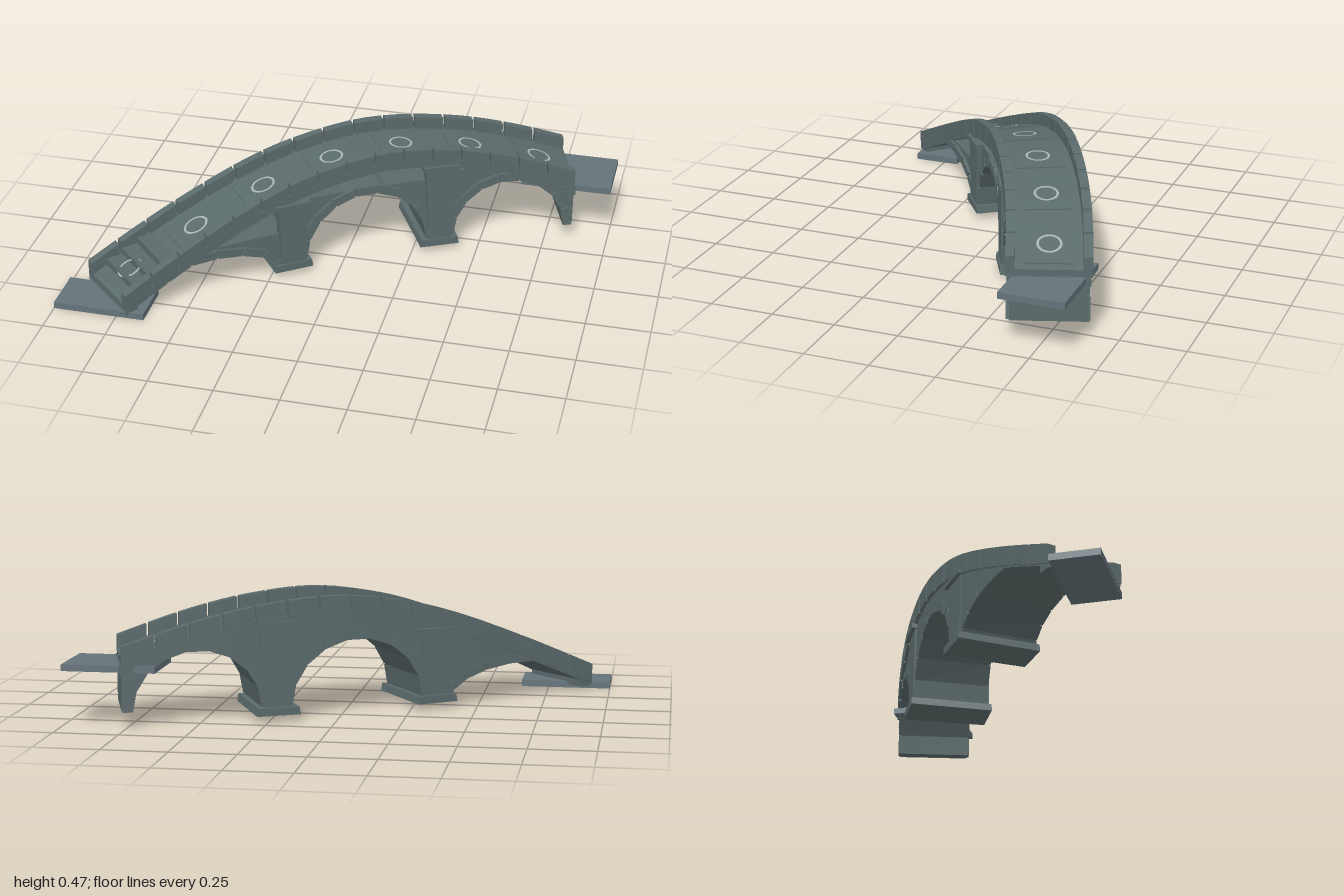
import * as THREE from 'three';
import { mergeGeometries } from 'three/addons/utils/BufferGeometryUtils.js';

const stone = new THREE.MeshStandardMaterial({ color: 0x5b6a6b });
stone.name = 'stone';
const landingStone = new THREE.MeshStandardMaterial({ color: 0x64737a });
landingStone.name = 'landing stone';
const paleInlay = new THREE.MeshStandardMaterial({ color: 0xa9b3b0 });
paleInlay.name = 'pale inlay';

// Plan of the bridge: an arc. s runs along it, d runs outwards from the middle.
const R = 3.98, CX = 2.067, CZ = 3.273, START = 46.4 * Math.PI / 180, LEN = 1.945;
const place = (s, y, d) => {
  const a = START - s / R;
  return new THREE.Vector3(CX - (R + d) * Math.sin(a), y, CZ - (R + d) * Math.cos(a));
};

// Height of the parapet top along the bridge
const knots = [[-0.2, 0.02], [0, 0.105], [0.35, 0.255], [0.65, 0.373], [0.85, 0.43], [1.13, 0.47],
  [1.4, 0.452], [1.65, 0.402], [1.945, 0.31], [2.1, 0.25]];
function crown(s) {
  let i = 1;
  while (i < knots.length - 3 && s > knots[i + 1][0]) i++;
  const [p, a, b, q] = [knots[i - 1], knots[i], knots[i + 1], knots[i + 2]];
  const w = b[0] - a[0], t = (s - a[0]) / w;
  const m0 = (b[1] - p[1]) / (b[0] - p[0]) * w, m1 = (q[1] - a[1]) / (q[0] - a[0]) * w;
  return (2 * t ** 3 - 3 * t * t + 1) * a[1] + (t ** 3 - 2 * t * t + t) * m0 +
    (3 * t * t - 2 * t ** 3) * b[1] + (t ** 3 - t * t) * m1;
}
const deckTop = s => crown(s) - 0.05;
const deckBottom = s => crown(s) - 0.08;

// A block with an anticlockwise (s, y) outline, spanning d0..d1 across the bridge
function block(outline, d0, d1) {
  const shape = new THREE.Shape(outline.map(p => new THREE.Vector2(p[0], p[1])));
  const g = new THREE.ExtrudeGeometry(shape, { depth: d1 - d0, bevelEnabled: false });
  const pos = g.attributes.position;
  for (let i = 0; i < pos.count; i++) {
    const v = place(pos.getX(i), pos.getY(i), d1 - pos.getZ(i));
    pos.setXYZ(i, v.x, v.y, v.z);
  }
  g.computeVertexNormals();
  return g;
}

// A run of blocks between a lower and an upper height rule
function run(low, high, s0, s1, n, d0, d1) {
  const out = [];
  for (let i = 0; i < n; i++) {
    const a = s0 + (s1 - s0) * i / n, b = s0 + (s1 - s0) * (i + 1) / n;
    if (high(a) - low(a) < 0.001 && high(b) - low(b) < 0.001) continue;
    out.push(block([[a, low(a)], [b, low(b)], [b, Math.max(high(b), low(b) + 0.0005)],
      [a, Math.max(high(a), low(a) + 0.0005)]], d0, d1));
  }
  return out;
}

const arches = [
  { name: 'lowArch', c: 0.355, a: 0.325, base: 0.025, rise: 0.125, n: 9 },
  { name: 'middleArch', c: 1.06, a: 0.26, base: 0.05, rise: 0.25, n: 9 },
  { name: 'highArch', c: 1.67, a: 0.235, base: 0.06, rise: 0.225, n: 9 },
];
const RING = 0.035;
const archPoint = (A, t, off) => {
  const s = A.c - (A.a + off) * Math.cos(t);
  const y = A.base + (A.rise + off) * Math.sin(t);
  const limit = crown(Math.max(s, 0)) - (off > 0 ? 0.055 : 0.085);
  return [s, Math.max(Math.min(y, limit), off > 0 ? A.base : Math.min(A.base, limit))];
};
// Top of the arch rings, or the ground line between them
function extrados(s) {
  for (const A of arches) {
    const u = (s - A.c) / (A.a + RING - 0.003);
    if (Math.abs(u) < 1) return A.base + (A.rise + RING - 0.003) * Math.sqrt(1 - u * u);
  }
  return s > 1.6 ? 0.06 : 0.05;
}

export function createModel() {
  const root = new THREE.Group();
  const add = (name, parts, mat = stone) => {
    const m = new THREE.Mesh(Array.isArray(parts) ? mergeGeometries(parts) : parts, mat);
    m.name = name;
    root.add(m);
    return m;
  };

  add('deck', run(deckBottom, deckTop, 0, LEN, 40, -0.15, 0.15));

  // Parapets of separate blocks, with narrow joints
  for (const side of [-1, 1]) {
    const parts = [], n = 16, gap = 0.005;
    const d0 = side > 0 ? 0.122 : -0.156, d1 = d0 + 0.034;
    for (let i = 0; i < n; i++) {
      parts.push(...run(s => crown(s) - 0.078, crown, LEN * i / n + (i ? gap : 0),
        LEN * (i + 1) / n - (i < n - 1 ? gap : 0), 2, d0, d1));
    }
    add(side > 0 ? 'outerParapet' : 'innerParapet', parts);
  }

  // Vaults and the raised ring stones on their faces
  for (const A of arches) {
    const vault = [], ring = [];
    for (let i = 0; i < A.n; i++) {
      const t0 = Math.PI * i / A.n, t1 = Math.PI * (i + 1) / A.n, j = 0.012;
      const quad = (a, b, off) => [archPoint(A, a, 0), archPoint(A, a, off),
        archPoint(A, b, off), archPoint(A, b, 0)].reverse();
      vault.push(block(quad(t0, t1, RING), -0.145, 0.145));
      ring.push(block(quad(t0 + j, t1 - j, RING), -0.153, -0.144));
      ring.push(block(quad(t0 + j, t1 - j, RING), 0.144, 0.149));
    }
    add(A.name + 'Vault', vault);
    add(A.name + 'RingStones', ring);
  }

  // Solid haunches up to a level course, open above on the inner side
  const level = s => Math.min(s < 0.72 ? 0.19 : s < 1.36 ? 0.32 : 0.35, deckBottom(s));
  add('haunchFill', run(extrados, level, 0.04, LEN, 150, -0.14, 0.14));
  add('outerSpandrelWall', run(extrados, deckBottom, 0.04, LEN, 150, 0.115, 0.145));

  // Piers: plinth, flared pilasters and caps
  for (const [name, s, top] of [['lowPier', 0.742, 0.315], ['highPier', 1.376, 0.38]]) {
    add(name + 'Plinth', block([[s - 0.085, 0.025], [s + 0.08, 0.025], [s + 0.075, 0.055],
      [s - 0.08, 0.055]], -0.165, 0.165));
    const flare = [[s - 0.05, 0.05], [s + 0.05, 0.05], [s + 0.065, top], [s - 0.065, top]];
    add(name + 'Pilasters', [block(flare, -0.16, -0.12), block(flare, 0.12, 0.152)]);
    const cap = [[s - 0.075, top - 0.015], [s + 0.075, top - 0.015],
      [s + 0.075, top + 0.005], [s - 0.075, top + 0.005]];
    add(name + 'Caps', [block(cap, -0.167, -0.11), block(cap, 0.11, 0.167)]);
  }

  // End abutments
  add('lowAbutment', block([[0, 0.015], [0.055, 0.015], [0.055, 0.05], [0, 0.05]], -0.15, 0.15));
  add('highAbutmentCourse', block([[1.9, 0.2], [LEN + 0.006, 0.2], [LEN + 0.006, 0.235],
    [1.9, 0.235]], -0.15, 0.15));

  // Shallow steps at the low end
  const steps = [];
  for (let i = 0; i < 3; i++) {
    const a = 0.06 + i * 0.065, b = a + 0.065, y = deckTop(b);
    steps.push(block([[a, deckBottom(a)], [b, deckBottom(b)], [b, y], [a, y]], -0.12, 0.12));
  }
  add('steps', steps);

  // Paving panels with a pale ring set in each
  const panels = [], rings = [];
  for (let i = 0; i < 7; i++) {
    const s = 0.1 + i * 0.287;
    if (i) panels.push(...run(deckTop, q => deckTop(q) + 0.004, s - 0.095, s + 0.095, 4, -0.09, 0.09));
    const ring = new THREE.RingGeometry(0.038, 0.047, 24);
    const pos = ring.attributes.position;
    for (let k = 0; k < pos.count; k++) {
      const q = s + pos.getX(k);
      const v = place(q, deckTop(q) + (i ? 0.0065 : 0.02), pos.getY(k));
      pos.setXYZ(k, v.x, v.y, v.z);
    }
    ring.computeVertexNormals();
    rings.push(ring);
  }
  add('pavingPanels', panels);
  add('pavingRings', rings, paleInlay);

  // Flat landings at both ends
  add('lowLanding', new THREE.BoxGeometry(0.36, 0.026, 0.185), landingStone).position.set(-0.82, 0.013, 0.532);
  add('highLanding', new THREE.BoxGeometry(0.36, 0.025, 0.25), landingStone).position.set(0.82, 0.222, -0.505);
  return root;
}
